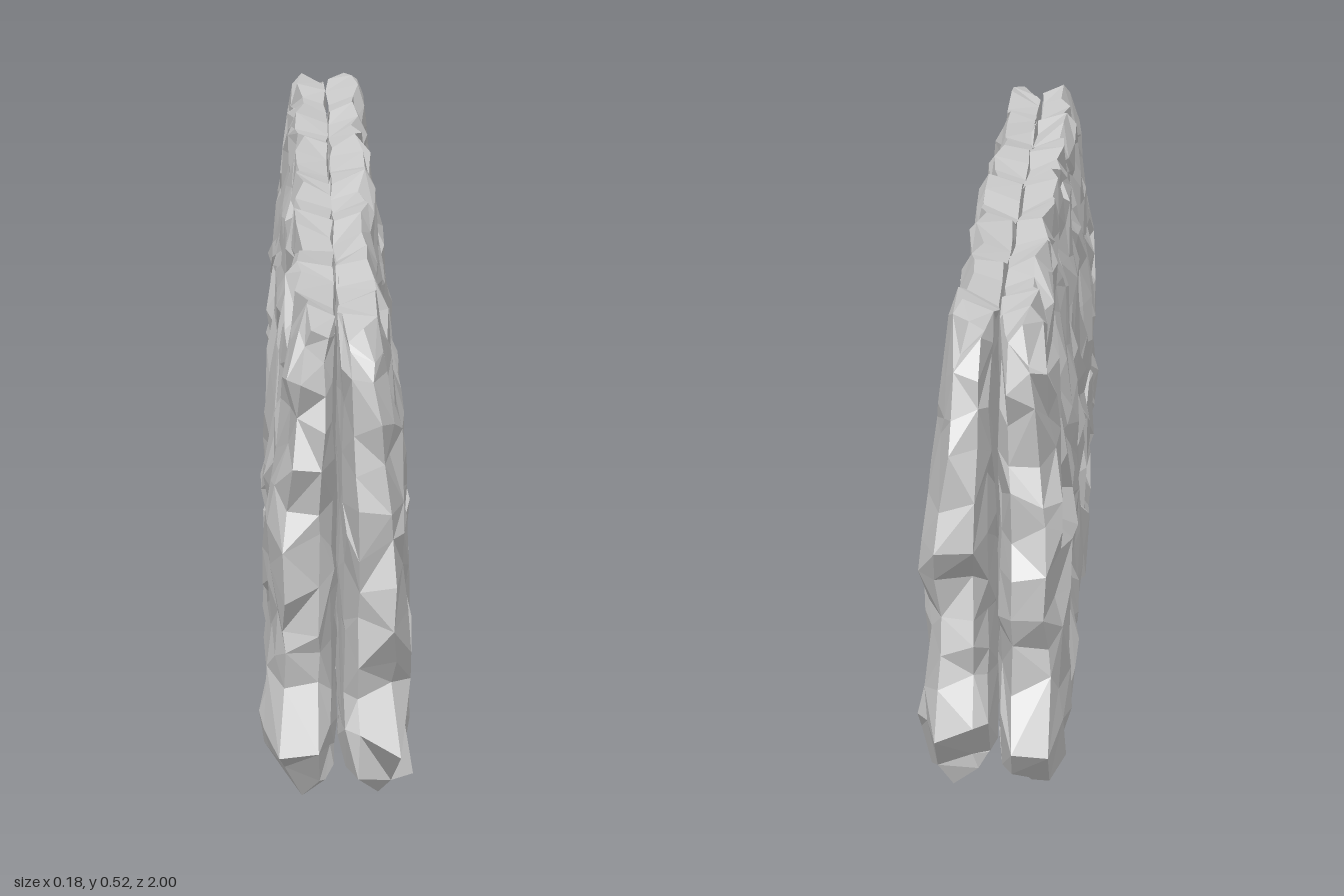
import * as THREE from 'three';

// Upright section of one leaf: [height, outer half-width, half-length]
const ROWS = [
  [0.006, 0.060, 0.95], [0.030, 0.083, 0.97], [0.070, 0.086, 1.0], [0.115, 0.082, 0.95],
  [0.160, 0.083, 0.945], [0.195, 0.080, 0.955], [0.240, 0.085, 0.955], [0.285, 0.083, 0.965],
  [0.330, 0.077, 0.955], [0.375, 0.068, 0.95], [0.420, 0.061, 0.95], [0.460, 0.057, 0.94],
  [0.500, 0.054, 0.90], [0.528, 0.043, 0.87],
];
// Deep chips in the faces: [z, y]
const CHIPS = [[0.75, 0.27], [0.2, 0.31], [-0.05, 0.14], [-0.33, 0.3], [-0.43, 0.15], [-0.8, 0.3]];
const STATIONS = 27;

function seeded(seed) {
  let s = seed;
  return () => {
    s = (s * 1664525 + 1013904223) % 4294967296;
    return s / 4294967296;
  };
}

// One rough stone leaf: jittered rings of outer and inner points along z
function stoneLeaf(side, seed) {
  const rnd = seeded(seed);
  const jit = (a) => (rnd() * 2 - 1) * a;
  const n = ROWS.length;
  const ring = n * 2;
  const pos = [];
  const idx = [];

  for (let i = 0; i < STATIONS; i++) {
    const t = (i / (STATIONS - 1)) * 2 - 1;
    const edge = Math.min(i, STATIONS - 1 - i);
    const pinch = edge === 0 ? 0.5 : edge === 1 ? 0.88 : 1;
    // stones rise and fall along the crest and the foot
    const crest = 0.016 * (1 - Math.cos(t * 21 + side * 0.4)) / 2;
    const foot = 0.014 * (1 - Math.cos(t * 25 + 1)) / 2;
    for (let k = 0; k < ring; k++) {
      const outer = k < n;
      const j = outer ? k : ring - 1 - k;
      const [h, w, len] = ROWS[j];
      const rim = j === 0 || j === n - 1;
      let z = t * len;
      if (edge === 0) z -= Math.sign(t) * (j === 2 && outer ? 0 : rnd() * 0.04);
      else z += jit(0.026);
      let y = h + (rim ? 0 : jit(0.015));
      if (j >= n - 2) y -= crest + rnd() * 0.008;
      if (j === 0) y += foot + rnd() * 0.006 - 0.006;
      let x;
      if (outer) {
        x = w - 0.003 + jit(0.008);
        for (const [cz, cy] of CHIPS) {
          if (Math.hypot((z - cz) / 0.05, (y - cy) / 0.03) < 1) x -= 0.022;
        }
      } else {
        x = 0.002 + jit(0.003);
        if (j === n - 1) y -= 0.014;
        if (j === 0) y += 0.018;
      }
      const mid = w * 0.5;
      x = mid + (x - mid) * pinch;
      pos.push(side * x, Math.max(0, y), z);
    }
  }

  const tri = (a, b, c) => (side > 0 ? idx.push(a, b, c) : idx.push(a, c, b));
  const quad = (a, b, c, d) => {
    if (rnd() < 0.5) { tri(a, b, c); tri(a, c, d); }
    else { tri(a, b, d); tri(b, c, d); }
  };
  for (let i = 0; i < STATIONS - 1; i++) {
    for (let k = 0; k < ring; k++) {
      const k2 = (k + 1) % ring;
      const a = i * ring;
      const b = a + ring;
      quad(a + k, a + k2, b + k2, b + k);
    }
  }
  // broken ends
  const last = (STATIONS - 1) * ring;
  for (let j = 0; j < n - 1; j++) {
    const p = ring - 1 - j;
    quad(last + j, last + j + 1, last + p - 1, last + p);
    quad(p, p - 1, j + 1, j);
  }

  let geo = new THREE.BufferGeometry();
  geo.setAttribute('position', new THREE.Float32BufferAttribute(pos, 3));
  geo.setIndex(idx);
  geo = geo.toNonIndexed();
  geo.computeVertexNormals();
  return geo;
}

export function createModel() {
  const group = new THREE.Group();
  group.name = 'stoneWall';
  const stone = new THREE.MeshStandardMaterial({ color: 0xcccccc, flatShading: true });
  for (const [name, side, seed] of [['leftLeaf', 1, 17], ['rightLeaf', -1, 4201]]) {
    const leaf = new THREE.Mesh(stoneLeaf(side, seed), stone);
    leaf.name = name;
    group.add(leaf);
  }
  return group;
}
